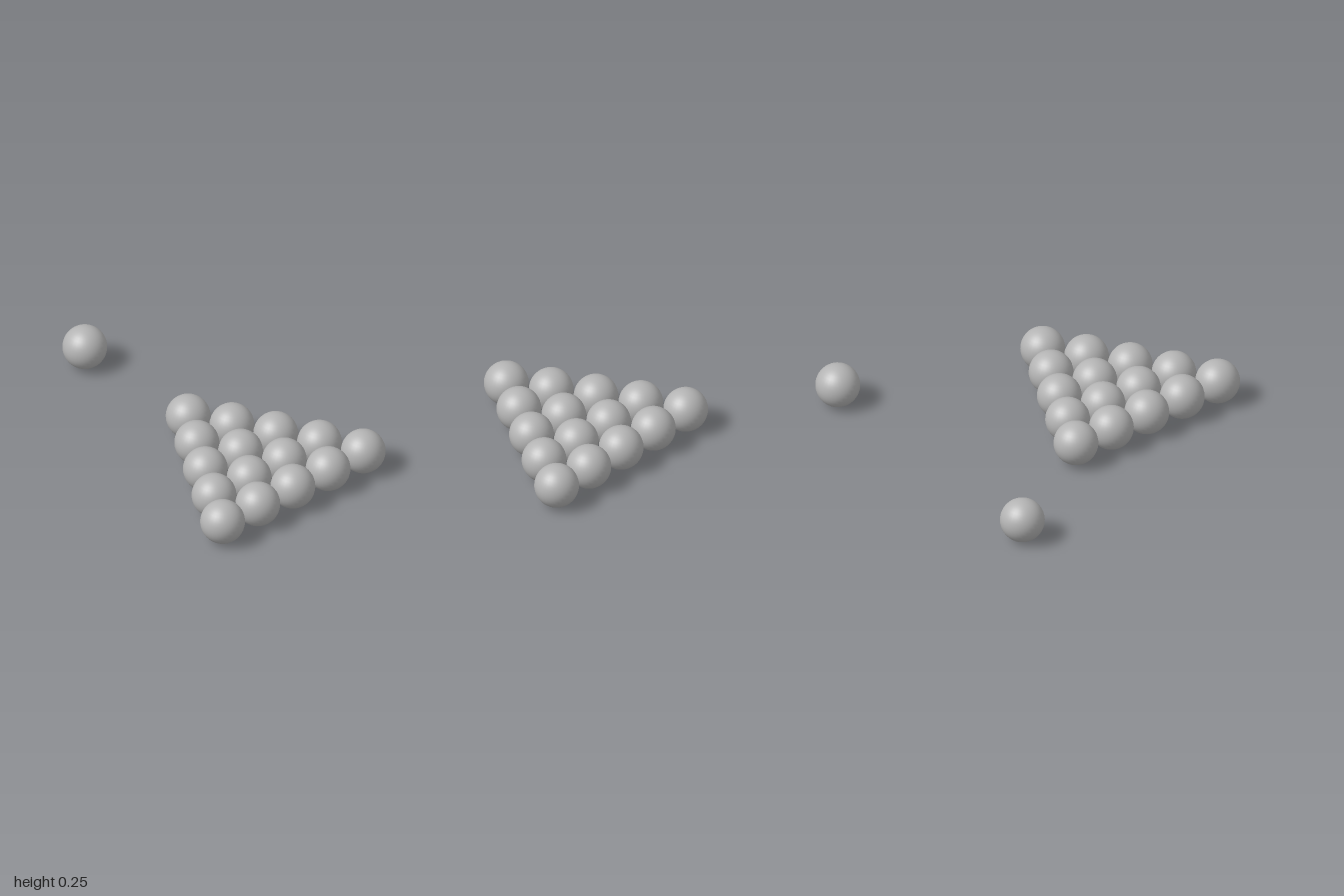
import * as THREE from 'three';

export function createModel() {
  const group = new THREE.Group();
  group.name = 'rackedBalls';

  const ballGrey = new THREE.MeshStandardMaterial({ color: 0xb4b4b4 });
  ballGrey.name = 'ball grey';

  const radius = 0.124;
  const spacing = 0.256; // between neighbours in a row
  const rowStep = 0.2205; // between rows
  const apexZ = -0.006;
  const ballGeometry = new THREE.SphereGeometry(radius, 32, 20);

  function addBall(parent, name, x, z) {
    const ball = new THREE.Mesh(ballGeometry, ballGrey);
    ball.name = name;
    ball.position.set(x, radius + 0.001, z);
    parent.add(ball);
  }

  // Triangle of fifteen balls, widening towards the front
  const triangle = new THREE.Group();
  triangle.name = 'ballTriangle';
  for (let row = 0; row < 5; row++) {
    for (let i = 0; i <= row; i++) {
      addBall(triangle, `ballRow${row + 1}Number${i + 1}`, (i - row / 2) * spacing, apexZ + row * rowStep);
    }
  }
  group.add(triangle);

  // Single cue ball behind the triangle
  addBall(group, 'cueBall', 0, -0.876);

  return group;
}
